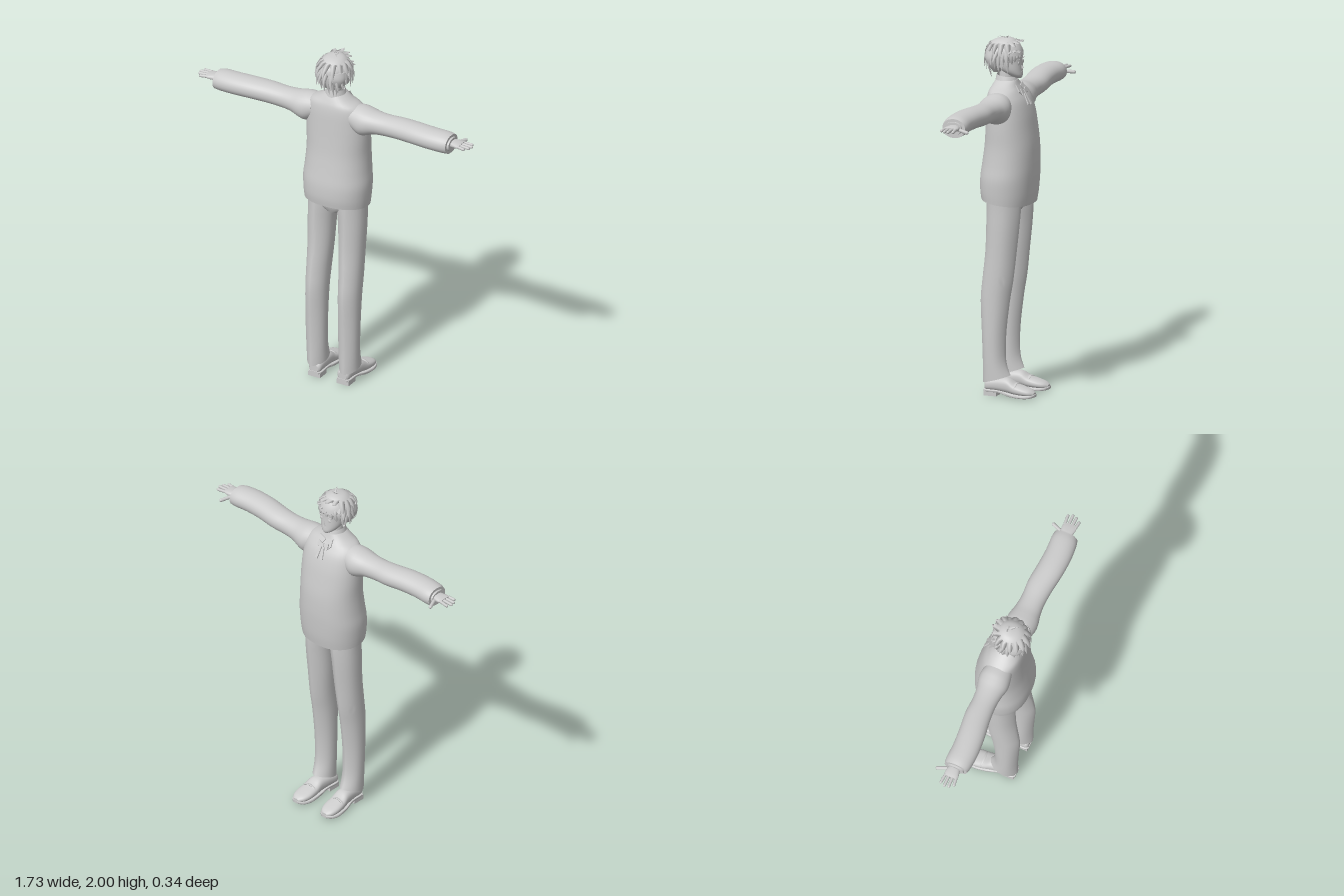
import * as THREE from 'three';
import { toCreasedNormals } from 'three/addons/utils/BufferGeometryUtils.js';

const grey = new THREE.MeshStandardMaterial({ color: 0xcccccc, side: THREE.DoubleSide });
grey.name = 'plain grey';
const V = (x, y, z) => new THREE.Vector3(x, y, z);

function add(parent, name, geometry) {
  const mesh = new THREE.Mesh(geometry, grey);
  mesh.name = name;
  parent.add(mesh);
}

// Catmull-Rom interpolation of equally long rows of numbers
function smooth(rows, steps = 4) {
  const out = [];
  for (let i = 0; i < rows.length - 1; i++) {
    const [a, b, c, d] = [-1, 0, 1, 2].map(k => rows[Math.min(rows.length - 1, Math.max(0, i + k))]);
    for (let s = 0; s < steps; s++) {
      const t = s / steps;
      out.push(b.map((p, j) => p + 0.5 * t * (c[j] - a[j] + t * (2 * a[j] - 5 * p + 4 * c[j] - d[j]
        + t * (3 * (p - c[j]) + d[j] - a[j])))));
    }
  }
  return [...out, rows[rows.length - 1]];
}

// Superellipse as pairs (u, v); low powers give pointed ends
function section(u0, u1, v0, v1, p = 2.2, q = p, n = 32) {
  const f = (k, e) => Math.sign(k) * Math.abs(k) ** (2 / e);
  return Array.from({ length: n }, (_, i) => {
    const a = i / n * Math.PI * 2;
    return [(u0 + u1) / 2 + (u1 - u0) / 2 * f(Math.cos(a), p),
      (v0 + v1) / 2 + (v1 - v0) / 2 * f(Math.sin(a), q)];
  });
}

// Skin joining closed rings of points, with optional end caps, facing outwards
function loft(rings, capStart = true, capEnd = true) {
  const n = rings[0].length, pos = [], index = [];
  rings.forEach(r => r.forEach(p => pos.push(p.x, p.y, p.z)));
  for (let i = 0; i < rings.length - 1; i++) for (let j = 0; j < n; j++) {
    const a = i * n + j, b = i * n + (j + 1) % n;
    index.push(a, b, a + n, b, b + n, a + n);
  }
  const cap = (ring, flip) => {
    const base = pos.length / 3, mid = V(0, 0, 0);
    ring.forEach(p => { pos.push(p.x, p.y, p.z); mid.addScaledVector(p, 1 / n); });
    pos.push(mid.x, mid.y, mid.z);
    for (let j = 0; j < n; j++) {
      const e = [base + j, base + (j + 1) % n];
      index.push(base + n, ...(flip ? e.reverse() : e));
    }
  };
  if (capStart) cap(rings[0], true);
  if (capEnd) cap(rings[rings.length - 1], false);
  const point = i => V(pos[3 * i], pos[3 * i + 1], pos[3 * i + 2]).sub(rings[0][0]);
  let volume = 0;
  for (let i = 0; i < index.length; i += 3)
    volume += point(index[i]).dot(point(index[i + 1]).cross(point(index[i + 2])));
  if (volume < 0) index.reverse();
  const g = new THREE.BufferGeometry();
  g.setAttribute('position', new THREE.Float32BufferAttribute(pos, 3));
  g.setIndex(index);
  g.computeVertexNormals();
  return g;
}

// Upright body: rows are y, centre x, half width, z front, z back, optional tilt
const upright = (rows, p, q, ...caps) =>
  loft(smooth(rows.map(([y, c, r, a, b, tilt = 0]) => [y, c, r, a, b, tilt])).map(([y, c, r, a, b, tilt]) =>
    section(c - r, c + r, a, b, p, q).map(([x, z]) => V(x, y + tilt * z, z))), ...caps);
// Sideways body: rows are x, y bottom, y top, z front, z back
const sideways = (rows, p) => loft(smooth(rows).map(([x, ...s]) =>
  section(...s, p).map(([y, z]) => V(x, y, z))));
// Lengthwise body: rows are z, centre x, half width, y bottom, y top
const lengthwise = (rows, p) => loft(smooth(rows).map(([z, c, r, a, b]) =>
  section(c - r, c + r, a, b, p).map(([x, y]) => V(x, y, z))));

// Rounded finger between two points
function finger(a, b, r) {
  const g = new THREE.CapsuleGeometry(r, a.distanceTo(b) - 2 * r, 4, 8);
  const q = new THREE.Quaternion().setFromUnitVectors(V(0, 1, 0), b.clone().sub(a).normalize());
  return g.applyQuaternion(q).translate((a.x + b.x) / 2, (a.y + b.y) / 2, (a.z + b.z) / 2);
}

// Flat pointed lock of hair along a bent path
function lock(a, b, c, width) {
  const path = new THREE.QuadraticBezierCurve3(a, b, c);
  const out = V(b.x, 0, b.z - 0.045).normalize(), side = V(-out.z, 0, out.x);
  return loft([0, 0.35, 0.7, 1].map(t => {
    const w = width * (t < 0.5 ? 1 : 2.04 - 2 * t), p = path.getPoint(t);
    return [[w, 0], [0, w * 0.35], [-w, 0], [0, -w * 0.35]].map(([s, o]) =>
      p.clone().addScaledVector(side, s).addScaledVector(out, o));
  }));
}

function buildHead() {
  const head = new THREE.Group();
  head.name = 'head';
  add(head, 'face', upright([[1.768, 0, 0.012, -0.052, -0.02], [1.785, 0, 0.038, -0.058, 0.02],
    [1.815, 0, 0.06, -0.056, 0.07], [1.86, 0, 0.07, -0.054, 0.11], [1.91, 0, 0.073, -0.052, 0.12],
    [1.95, 0, 0.06, -0.035, 0.11], [1.975, 0, 0.03, 0, 0.07]], 2.1, 2.1));
  add(head, 'neck', new THREE.CylinderGeometry(0.038, 0.043, 0.13, 24).translate(0, 1.755, 0.035));
  add(head, 'nose', new THREE.ConeGeometry(0.008, 0.025, 4).rotateX(0.25).translate(0, 1.834, -0.056));
  add(head, 'mouth', new THREE.BoxGeometry(0.022, 0.002, 0.004).translate(0, 1.805, -0.056));
  for (const s of [-1, 1]) {
    add(head, 'eye', new THREE.SphereGeometry(0.011, 12, 8).scale(1.2, 1, 0.3).translate(s * 0.029, 1.855, -0.049));
    add(head, 'eyebrow', new THREE.BoxGeometry(0.03, 0.003, 0.005).rotateZ(s * 0.1).translate(s * 0.029, 1.876, -0.05));
    add(head, 'ear', new THREE.SphereGeometry(0.02, 12, 8).scale(0.4, 1.1, 0.7).translate(s * 0.072, 1.848, 0.04));
  }
  // Hair cap, open over the face
  const hair = new THREE.Group();
  hair.name = 'hair';
  head.add(hair);
  add(hair, 'hairCap', upright([[1.9, 0, 0.098, -0.058, 0.15], [1.93, 0, 0.09, -0.05, 0.145],
    [1.96, 0, 0.072, -0.032, 0.123], [1.98, 0, 0.046, -0.008, 0.09], [1.988, 0, 0.015, 0.015, 0.045]], 2, 2));
  add(hair, 'hairBack', upright([[1.80, 0, 0.055, 0.055, 0.105], [1.84, 0, 0.083, 0.035, 0.135],
    [1.88, 0, 0.096, 0.02, 0.15], [1.92, 0, 0.09, 0.01, 0.145]], 2.2, 2.2));
  // Layers of locks: count, start height, start radius, middle height, end radius, lift of the tips
  const layers = [[26, 1.925, 0.088, 1.885, 0.096, 0], [22, 1.95, 0.07, 1.91, 0.108, 0.04],
    [15, 1.978, 0.035, 1.96, 0.106, 0.09]];
  layers.forEach(([n, y, r, my, er, lift], k) => {
    for (let i = 0; i < n; i++) {
      const a = (i + k * 0.4) / n * Math.PI * 2, back = Math.sin(a);
      const wave = Math.sin(i * 7.3 + k * 2);
      const at = (rad, h, turn = 0) =>
        V(Math.cos(a + turn) * rad, h, 0.045 + Math.sin(a + turn) * rad * (back > 0 ? 1.08 : 0.98));
      const tip = back < -0.6 ? 1.868 : 1.815 - 0.035 * Math.max(0, back);
      const end = (back > 0.2 && k === 0 ? 0.075 : er) + 0.006 * wave;
      add(hair, 'hairLock', lock(at(r, y), at(0.105, my), at(end, tip + lift + 0.018 * wave, 0.12 * wave),
        0.016 + k * 0.002));
    }
  });
  for (const [x, z] of [[-0.025, 0], [0.018, -0.005], [0.03, 0.05]])
    add(hair, 'crownTuft', lock(V(0, 1.975, 0.03), V(x * 0.4, 2.005, 0.03 + z * 0.4), V(x, 1.994, 0.03 + z), 0.008));
  return head;
}

// One sleeve with its hand, on the +x side
function buildArm() {
  const arm = new THREE.Group();
  add(arm, 'sleeve', sideways([[0.12, 1.57, 1.705, -0.045, 0.105], [0.17, 1.54, 1.706, -0.058, 0.115],
    [0.21, 1.548, 1.70, -0.055, 0.115], [0.26, 1.567, 1.692, -0.042, 0.105], [0.33, 1.575, 1.69, -0.035, 0.1],
    [0.42, 1.58, 1.695, -0.038, 0.107], [0.52, 1.585, 1.70, -0.028, 0.121], [0.62, 1.585, 1.70, -0.022, 0.127],
    [0.7, 1.583, 1.697, -0.025, 0.122], [0.738, 1.584, 1.69, -0.02, 0.113]], 2.1));
  add(arm, 'shirtCuff', sideways([[0.73, 1.6, 1.676, -0.005, 0.098], [0.748, 1.602, 1.674, -0.002, 0.095]], 2.1));
  add(arm, 'palm', sideways([[0.735, 1.622, 1.66, 0.012, 0.072], [0.76, 1.626, 1.66, 0.004, 0.078],
    [0.785, 1.63, 1.658, 0.002, 0.083], [0.803, 1.635, 1.655, 0.006, 0.082]], 2.4));
  [[0.855, 0.006], [0.866, 0.032], [0.86, 0.056], [0.842, 0.08]].forEach(([x, z], i) =>
    add(arm, 'finger', finger(V(0.785, 1.646, 0.013 + i * 0.02), V(x, 1.642, z), 0.0085)));
  add(arm, 'thumb', finger(V(0.748, 1.636, 0.022), V(0.779, 1.628, -0.056), 0.01));
  return arm;
}

// One trouser leg with its shoe, on the +x side
function buildLeg() {
  const leg = new THREE.Group();
  const trouser = upright([[1.16, 0.09, 0.09, -0.085, 0.115], [1.06, 0.091, 0.084, -0.086, 0.115],
    [0.95, 0.096, 0.077, -0.078, 0.115], [0.8, 0.098, 0.071, -0.062, 0.12], [0.65, 0.102, 0.065, -0.045, 0.135],
    [0.53, 0.103, 0.062, -0.025, 0.145], [0.35, 0.103, 0.06, -0.004, 0.138], [0.2, 0.102, 0.058, -0.003, 0.133],
    [0.11, 0.101, 0.057, -0.028, 0.133, -0.3]], 1.35, 2.3);
  add(leg, 'trouserLeg', toCreasedNormals(trouser, 0.65));
  const shoe = new THREE.Group();
  shoe.name = 'shoe';
  add(shoe, 'shoeUpper', lengthwise([[0.12, 0.09, 0.025, 0.03, 0.075], [0.105, 0.09, 0.038, 0.025, 0.09],
    [0.05, 0.092, 0.041, 0.025, 0.1], [-0.015, 0.097, 0.045, 0.02, 0.103], [-0.06, 0.1, 0.05, 0.015, 0.078],
    [-0.11, 0.102, 0.051, 0.013, 0.063], [-0.15, 0.104, 0.04, 0.013, 0.05], [-0.172, 0.105, 0.018, 0.016, 0.036]], 2.4));
  add(shoe, 'sole', toCreasedNormals(lengthwise([[0.123, 0.09, 0.028, 0.02, 0.036], [0.1, 0.09, 0.041, 0.02, 0.036],
    [0.03, 0.093, 0.04, 0.02, 0.035], [-0.04, 0.099, 0.05, 0.006, 0.026], [-0.11, 0.102, 0.055, 0.003, 0.022],
    [-0.155, 0.104, 0.042, 0.006, 0.023], [-0.177, 0.105, 0.018, 0.012, 0.026]], 6), 0.7));
  add(shoe, 'heel', new THREE.BoxGeometry(0.076, 0.026, 0.072).translate(0.091, 0.013, 0.082));
  add(shoe, 'shoeStrap', new THREE.TorusGeometry(0.045, 0.004, 6, 16, Math.PI).scale(1, 0.6, 2).translate(0.101, 0.051, -0.066));
  leg.add(shoe);
  return leg;
}

// Thin outlined plate laid against the chest
function plate(points, z, lean) {
  const shape = new THREE.Shape(points.map(p => new THREE.Vector2(...p)));
  return new THREE.ExtrudeGeometry(shape, { depth: 0.006, bevelEnabled: false }).rotateX(lean).translate(0, 1.7, z);
}

export function createModel() {
  const model = new THREE.Group();
  model.name = 'standingFigure';
  model.add(buildHead());
  // Jacket body, open at the hem
  add(model, 'jacket', upright([[1.083, 0, 0.188, -0.122, 0.16, 0.1], [1.14, 0, 0.194, -0.132, 0.167, 0.05],
    [1.22, 0, 0.198, -0.139, 0.166], [1.3, 0, 0.191, -0.142, 0.155], [1.4, 0, 0.185, -0.139, 0.142],
    [1.5, 0, 0.186, -0.125, 0.135], [1.58, 0, 0.184, -0.11, 0.131], [1.65, 0, 0.177, -0.088, 0.127],
    [1.695, 0, 0.155, -0.06, 0.12], [1.725, 0, 0.1, -0.04, 0.108], [1.755, 0, 0.056, -0.028, 0.092]], 2.3, 2.1, false, true));
  add(model, 'hips', upright([[1.03, 0, 0.05, -0.05, 0.09], [1.08, 0, 0.15, -0.08, 0.11],
    [1.16, 0, 0.17, -0.085, 0.115]], 2.3, 2.3));
  // Shirt collar and bow
  add(model, 'collarBand', upright([[1.735, 0, 0.062, -0.034, 0.098, 0.1], [1.775, 0, 0.05, -0.02, 0.09, 0.1]], 2, 2, false, false));
  for (const s of [-1, 1]) {
    add(model, 'collarFlap', plate([[0, 0.03], [s * 0.045, 0.045], [s * 0.05, 0], [s * 0.03, -0.025]], -0.062, 0.55));
    add(model, 'bowLoop', plate([[0, 0.004], [s * 0.035, 0.016], [s * 0.038, -0.018], [0, -0.008]], -0.07, 0.45));
    add(model, 'bowTail', plate([[s * 0.004, -0.005], [s * 0.012, -0.005], [s * 0.026, -0.08], [s * 0.01, -0.085]], -0.07, 0.45));
  }
  add(model, 'bowKnot', new THREE.BoxGeometry(0.016, 0.018, 0.012).rotateX(0.45).translate(0, 1.698, -0.069));
  // Mirrored limbs
  for (const [side, s] of [['left', 1], ['right', -1]])
    for (const [part, build] of [['Arm', buildArm], ['Leg', buildLeg]]) {
      const limb = build();
      limb.name = side + part;
      limb.scale.x = s;
      model.add(limb);
    }
  return model;
}
